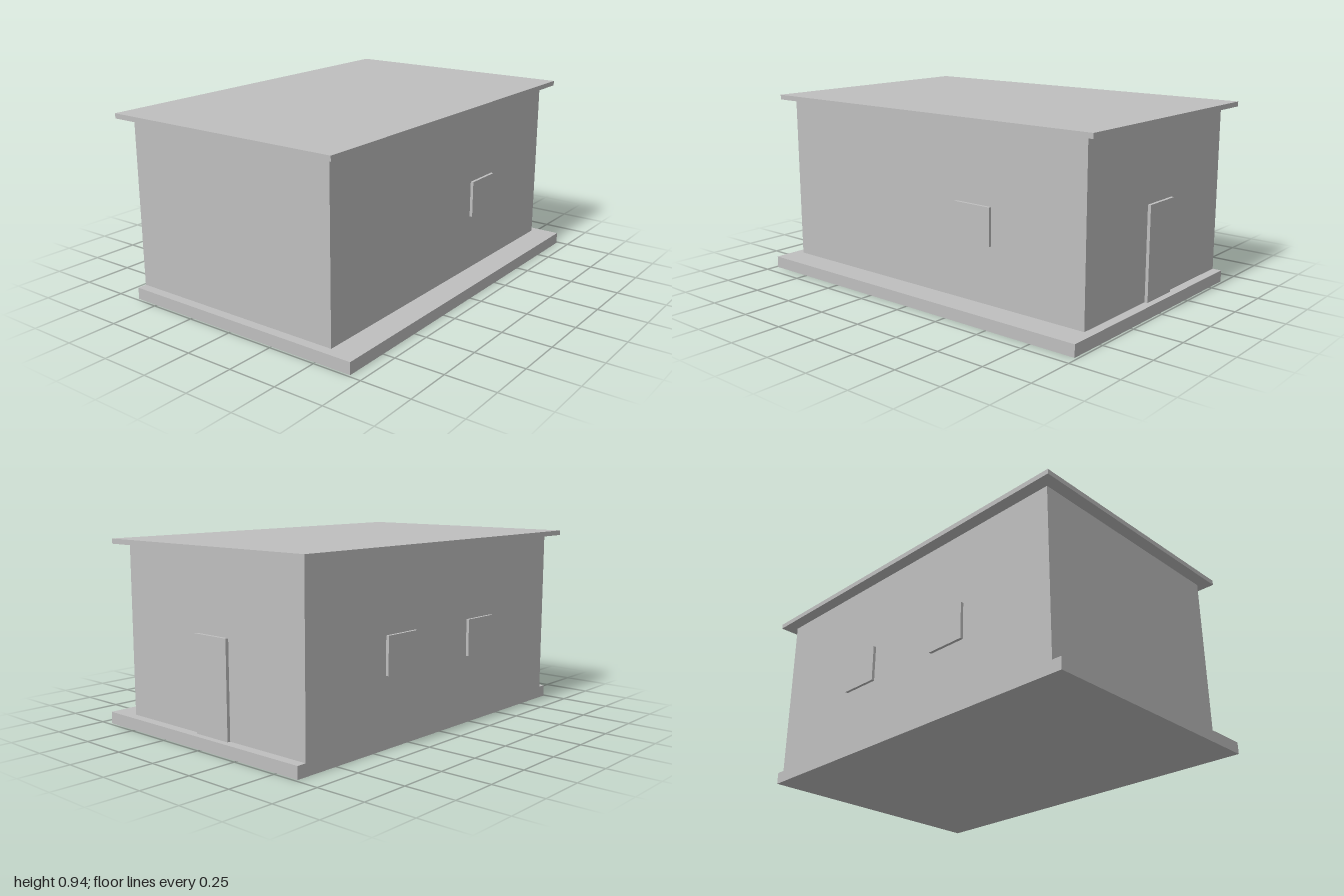
import * as THREE from 'three';

export function createModel() {
  const group = new THREE.Group();
  const grey = new THREE.MeshStandardMaterial({ color: 0xbfbfbf });
  grey.name = 'light grey';

  // Box given by its extents along each axis
  function block(name, [x0, x1], [y0, y1], [z0, z1]) {
    const mesh = new THREE.Mesh(new THREE.BoxGeometry(x1 - x0, y1 - y0, z1 - z0), grey);
    mesh.position.set((x0 + x1) / 2, (y0 + y1) / 2, (z0 + z1) / 2);
    mesh.name = name;
    group.add(mesh);
  }

  // Main volumes
  block('foundation', [-0.988, 0.986], [0, 0.06], [-0.626, 0.688]);
  block('walls', [-0.94, 0.938], [0.06, 0.91], [-0.626, 0.55]);
  block('roof', [-1, 1], [0.91, 0.935], [-0.688, 0.605]);

  // Door on the left end wall
  block('door', [0.938, 0.954], [0.06, 0.53], [-0.155, 0.056]);

  // Windows: one in front, two at the back
  const height = [0.345, 0.53];
  block('frontWindow', [0.208, 0.418], height, [0.55, 0.565]);
  block('backWindowLeft', [0.208, 0.418], height, [-0.641, -0.626]);
  block('backWindowRight', [-0.419, -0.209], height, [-0.641, -0.626]);

  return group;
}
